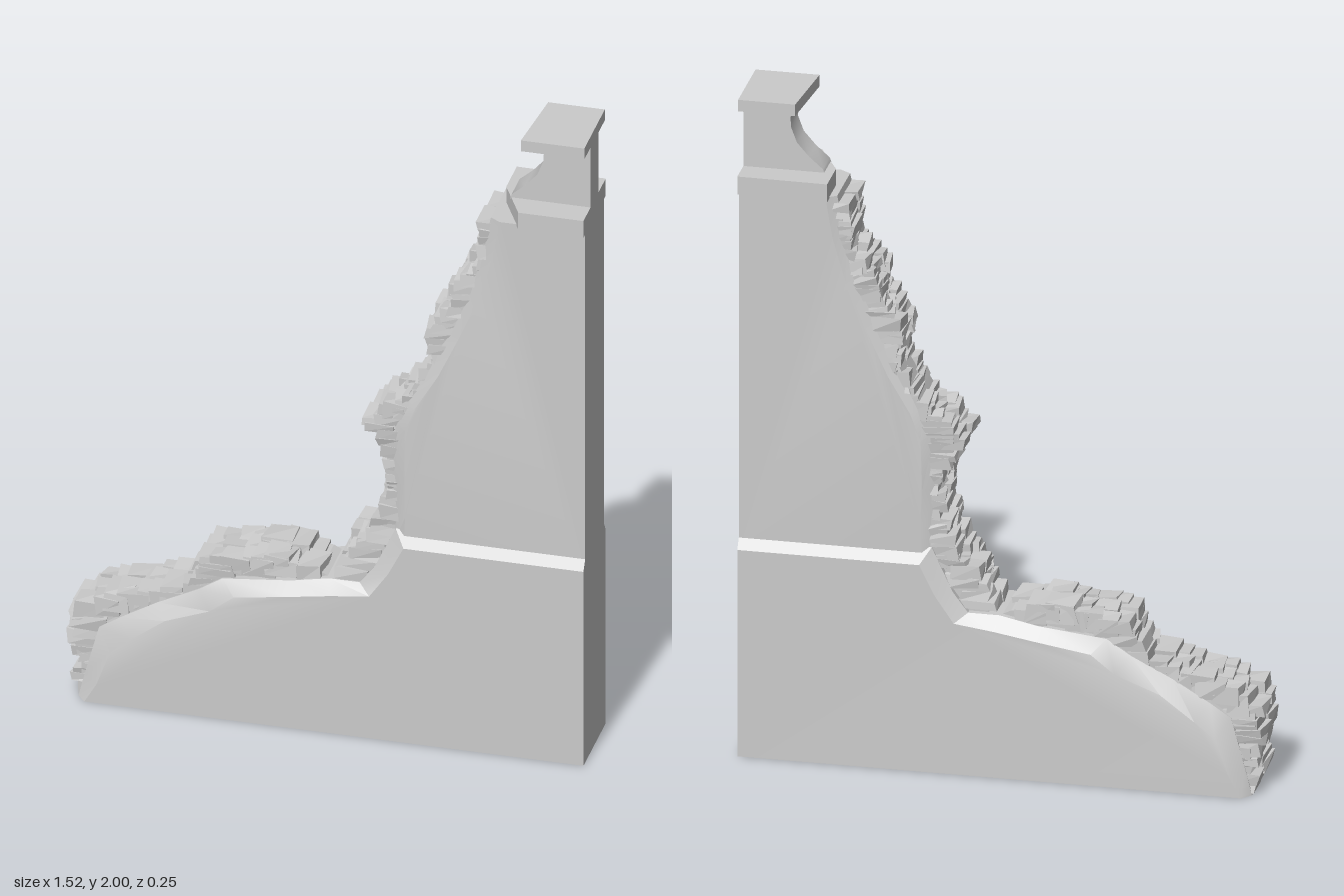
import * as THREE from 'three';
import { mergeGeometries, toCreasedNormals } from 'three/addons/utils/BufferGeometryUtils.js';

const material = new THREE.MeshStandardMaterial({ color: 0xcccccc });

function add(group, name, geometry) {
  const mesh = new THREE.Mesh(geometry, material);
  mesh.name = name;
  group.add(mesh);
  return mesh;
}

const shapeOf = (pts) => new THREE.Shape(pts.map(([x, y]) => new THREE.Vector2(x, y)));

function extrudeZ(pts, halfDepth) {
  const g = new THREE.ExtrudeGeometry(shapeOf(pts), { depth: 2 * halfDepth, bevelEnabled: false });
  return g.translate(0, 0, -halfDepth);
}

// Wall slab whose worn rim slopes from the face outline back to a wider core outline.
// Each row: face x, face y, core x, core y.
function wornSlab(rows, faceZ, coreZ) {
  const g = new THREE.ExtrudeGeometry(shapeOf(rows), { depth: 3, steps: 3, bevelEnabled: false });
  const p = g.attributes.position;
  const levels = [-faceZ, -coreZ, coreZ, faceZ];
  for (let i = 0; i < p.count; i++) {
    const level = Math.round(p.getZ(i));
    const x = p.getX(i), y = p.getY(i);
    const row = rows.find((r) => Math.abs(r[0] - x) < 1e-4 && Math.abs(r[1] - y) < 1e-4);
    const core = level === 1 || level === 2;
    p.setXYZ(i, core ? row[2] : row[0], core ? row[3] : row[1], levels[level]);
  }
  return toCreasedNormals(g, 0.5);
}

// Small seeded generator
function seeded(seed) {
  return () => {
    seed = (seed * 1664525 + 1013904223) % 4294967296;
    return seed / 4294967296;
  };
}

// Rough block with its eight corners nudged
function roughStone(w, h, d, rand) {
  const g = new THREE.BoxGeometry(w, h, d).toNonIndexed();
  const nudges = Array.from({ length: 8 }, () => [rand() - 0.5, rand() - 0.5, rand() - 0.5]);
  const p = g.attributes.position;
  for (let i = 0; i < p.count; i++) {
    const x = p.getX(i), y = p.getY(i), z = p.getZ(i);
    const n = nudges[(x > 0 ? 1 : 0) + (y > 0 ? 2 : 0) + (z > 0 ? 4 : 0)];
    p.setXYZ(i, x + n[0] * 0.016, y + n[1] * 0.012, z + n[2] * 0.01);
  }
  g.computeVertexNormals();
  return g;
}

// Outline of the broken masonry, from the low end up to the cornice
const breakLine = [
  [-0.735, 0.03], [-0.725, 0.1], [-0.745, 0.19], [-0.745, 0.285], [-0.66, 0.33], [-0.5, 0.37],
  [-0.41, 0.42], [-0.35, 0.505], [-0.15, 0.53], [-0.05, 0.52], [0.0, 0.495], [0.04, 0.54],
  [0.07, 0.61], [0.13, 0.665], [0.15, 0.73], [0.175, 0.81], [0.175, 0.9], [0.155, 0.96],
  [0.11, 1.01], [0.17, 1.07], [0.24, 1.12], [0.3, 1.22], [0.295, 1.34], [0.345, 1.43],
  [0.385, 1.51], [0.435, 1.59], [0.44, 1.71],
];

function rubbleStones() {
  const rand = seeded(17);
  const stones = [];
  const courses = (a, b, spacing) => {
    const dx = b[0] - a[0], dy = b[1] - a[1];
    const length = Math.hypot(dx, dy);
    const steep = Math.abs(dy) > Math.abs(dx) * 0.8;
    const count = Math.max(1, Math.round(length / spacing));
    for (let i = 0; i < count; i++) {
      const t = (i + 0.5) / count;
      // Split the thickness into two or three stones
      const split = (rand() - 0.5) * 0.05;
      const cuts = rand() < 0.45
        ? [-0.094, -0.035 + split * 0.5, 0.03 + split * 0.5, 0.092]
        : [-0.094, split, 0.092];
      for (let k = 0; k + 1 < cuts.length; k++) {
        const w = (steep ? 0.075 : 0.06) + rand() * 0.035;
        const h = (steep ? 0.026 : 0.045) + rand() * 0.016;
        const d = cuts[k + 1] - cuts[k] - 0.003;
        const left = a[0] + dx * t + (rand() - 0.5) * 0.026 - (dy < 0 ? w : 0);
        const top = a[1] + dy * t + (rand() - 0.5) * 0.014;
        const g = roughStone(w, h, d, rand);
        g.translate(
          Math.max(left, -0.752) + w / 2,
          Math.max(top - h / 2, h / 2 + 0.006),
          (cuts[k] + cuts[k + 1]) / 2
        );
        stones.push(g);
      }
    }
  };
  for (let i = 0; i + 1 < breakLine.length; i++) {
    const steep = breakLine[i + 1][1] - breakLine[i][1] > 0.05;
    courses(breakLine[i], breakLine[i + 1], steep ? 0.025 : 0.042);
  }
  return mergeGeometries(stones);
}

export function createModel() {
  const group = new THREE.Group();
  group.name = 'ruinedWall';

  // Thick base wall with sloping ledge and worn rim
  add(group, 'baseWall', wornSlab([
    [0.76, 0, 0.76, 0], [0.76, 0.63, 0.76, 0.675], [0.235, 0.63, 0.205, 0.675],
    [0.19, 0.54, 0.145, 0.545], [0.135, 0.46, 0.1, 0.485], [0.02, 0.445, 0.01, 0.485],
    [-0.1, 0.425, -0.1, 0.462], [-0.26, 0.4, -0.3, 0.44], [-0.33, 0.345, -0.37, 0.395],
    [-0.46, 0.295, -0.49, 0.335], [-0.56, 0.22, -0.6, 0.27], [-0.62, 0.17, -0.66, 0.23],
    [-0.66, 0.06, -0.7, 0.08], [-0.695, 0, -0.72, 0],
  ], 0.125, 0.095));

  // Thinner upper wall
  add(group, 'upperWall', wornSlab([
    [0.76, 0.62, 0.76, 0.62], [0.76, 1.72, 0.76, 1.72], [0.51, 1.72, 0.48, 1.72],
    [0.49, 1.6, 0.455, 1.6], [0.45, 1.46, 0.41, 1.46], [0.39, 1.32, 0.35, 1.32],
    [0.33, 1.19, 0.295, 1.2], [0.265, 1.08, 0.235, 1.1], [0.235, 1.0, 0.2, 1.02],
    [0.23, 0.85, 0.19, 0.85], [0.235, 0.72, 0.195, 0.72], [0.23, 0.62, 0.195, 0.62],
  ], 0.105, 0.085));

  // Masonry core behind the loose stones
  const core = breakLine.map(([x, y]) => [x + 0.03, y - 0.025]);
  add(group, 'masonryCore', extrudeZ([...core, [0.6, 1.68], [0.6, 0.005], [-0.7, 0.005]].reverse(), 0.078));

  // Broken stone courses
  add(group, 'brokenStones', rubbleStones());

  // Cornice with a slanted broken end
  const cornice = extrudeZ([
    [0.76, -0.125], [0.76, 0.125], [0.5, 0.128], [0.5, 0.01], [0.57, -0.125],
  ], 0.0275);
  cornice.rotateX(-Math.PI / 2).translate(0, 1.7425, 0);
  add(group, 'cornice', cornice);

  // Narrow neck, hollowed along its broken side
  add(group, 'neck', toCreasedNormals(extrudeZ([
    [0.76, 1.765], [0.76, 1.97], [0.612, 1.97], [0.624, 1.93], [0.622, 1.9],
    [0.605, 1.855], [0.57, 1.815], [0.53, 1.78], [0.525, 1.765],
  ], 0.045), 0.6));

  // Top slab with a slightly skewed end
  const slab = extrudeZ([
    [0.76, -0.115], [0.76, 0.115], [0.595, 0.115], [0.575, -0.115],
  ], 0.0175);
  slab.rotateX(-Math.PI / 2).translate(0, 1.9825, 0);
  add(group, 'topSlab', slab);

  return group;
}
